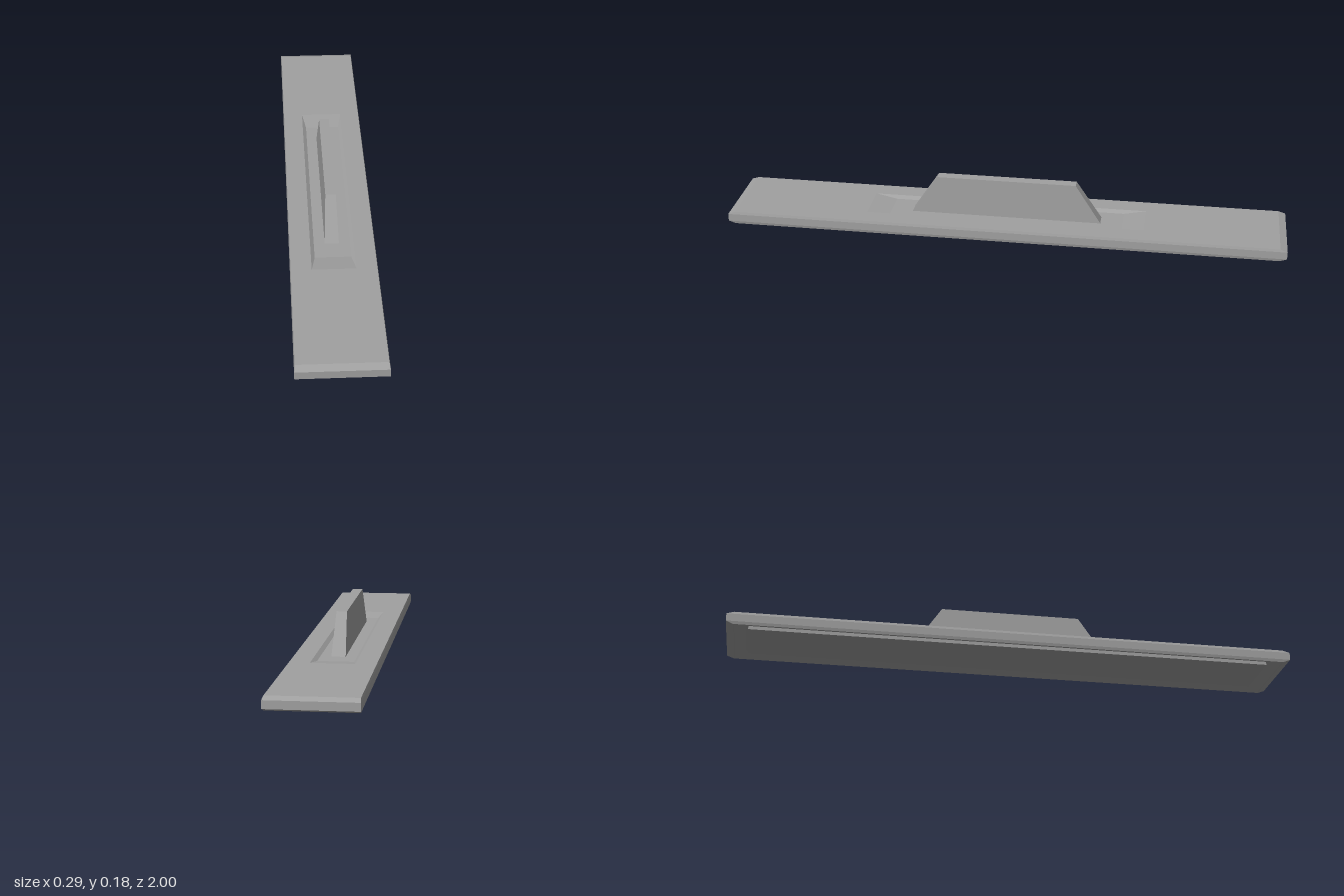
import * as THREE from 'three';

const grey = new THREE.MeshStandardMaterial({ color: 0xa0a0a0 });
grey.name = 'grey';

// Lofts rectangular rings [halfWidth, halfLength, y], running from the top cap
// over the outside to the bottom cap, into a faceted solid.
function rectLoft(rings) {
  const corners = rings.map(([x, z, y]) => [[x, y, z], [x, y, -z], [-x, y, -z], [-x, y, z]]);
  const pos = [];
  const quad = (a, b, c, d) => pos.push(...a, ...b, ...c, ...a, ...c, ...d);
  quad(...corners[0]);
  for (let i = 0; i + 1 < corners.length; i++) {
    const A = corners[i], B = corners[i + 1];
    for (let k = 0; k < 4; k++) {
      const n = (k + 1) % 4;
      quad(A[k], B[k], B[n], A[n]);
    }
  }
  quad(...corners[corners.length - 1].slice().reverse());
  const g = new THREE.BufferGeometry();
  g.setAttribute('position', new THREE.Float32BufferAttribute(pos, 3));
  g.computeVertexNormals();
  return g;
}

function part(name, rings) {
  const mesh = new THREE.Mesh(rectLoft(rings), grey);
  mesh.name = name;
  return mesh;
}

export function createModel() {
  const group = new THREE.Group();
  group.name = 'handledBoard';

  // Board: shallow top recess, bevelled rim, hollow underside with raised panel
  group.add(part('board', [
    [0.062, 0.42, 0.036],
    [0.075, 0.5, 0.046],
    [0.145, 0.975, 0.046],
    [0.1475, 1, 0.037],
    [0.1475, 1, 0.01],
    [0.145, 0.975, 0],
    [0.142, 0.97, 0],
    [0.106, 0.935, 0.016],
    [0.103, 0.925, 0.016],
    [0.103, 0.925, 0.004],
  ]));

  // Tapered upright grip standing in the recess
  group.add(part('grip', [
    [0.018, 0.25, 0.176],
    [0.0245, 0.342, 0.036],
  ]));

  return group;
}
